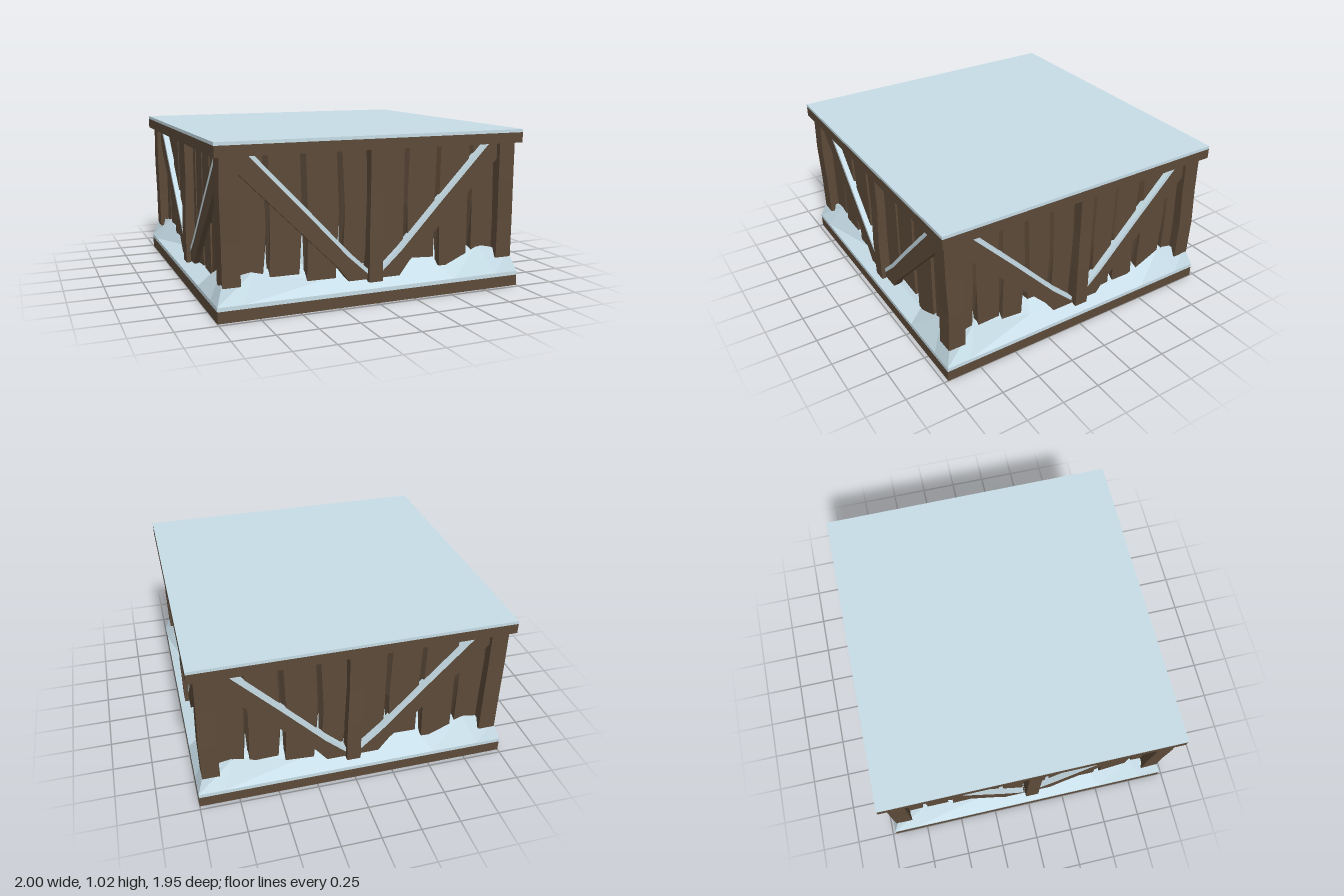
import * as THREE from 'three';

const HX = 1, HZ = 0.973, LID = 0.94;

export function createModel() {
  const wood = new THREE.MeshStandardMaterial({ color: 0x5c4a39 });
  wood.name = 'dark wood';
  const snow = new THREE.MeshStandardMaterial({ color: 0xc7dde7 });
  snow.name = 'snow';
  const model = new THREE.Group();
  model.name = 'timberPlatform';

  let seed = 7;
  const rand = () => {
    seed = (seed * 16807) % 2147483647;
    return seed / 2147483647 - 0.5;
  };

  function add(parent, name, geometry, material) {
    const mesh = new THREE.Mesh(geometry, material);
    mesh.name = name;
    parent.add(mesh);
  }

  function slab(name, y0, y1, hx, hz, material) {
    const geo = new THREE.BoxGeometry(2 * hx, y1 - y0, 2 * hz);
    add(model, name, geo.translate(0, (y0 + y1) / 2, 0), material);
  }

  // Flat outline given a thickness, from z0 outwards to z1
  function cutBoard(points, z0, z1) {
    const shape = new THREE.Shape(points.map(([x, y]) => new THREE.Vector2(x, y)));
    return new THREE.ExtrudeGeometry(shape, { depth: z1 - z0, bevelEnabled: false }).translate(0, 0, z0);
  }

  // Base, lid and the dark inside
  slab('base', 0, 0.07, HX, HZ, wood);
  slab('lid', 0.935, 1.0, HX, HZ, wood);
  slab('lidSnow', 1.0, 1.02, HX, HZ, snow);
  slab('innerCore', 0.3, LID, 0.78, 0.75, wood);

  // Snow bank: rings from the rim inwards, five points along each side, the first at the corner
  const along = [-1, -0.84, -0.37, 0.53, 0.84];
  const rings = [
    { inset: [0, 0, 0, 0, 0], y: [0.07, 0.07, 0.07, 0.07, 0.07] },
    { inset: [0, 0, 0, 0, 0], y: [0.095, 0.095, 0.095, 0.095, 0.095] },
    { inset: [0.045, 0.1, 0.1, 0.1, 0.1], y: [0.225, 0.255, 0.15, 0.15, 0.27] },
    { inset: [0.19, 0.19, 0.19, 0.19, 0.19], y: [0.265, 0.26, 0.23, 0.23, 0.27] },
    { inset: [0.215, 0.215, 0.215, 0.215, 0.215], y: [0.47, 0.47, 0.47, 0.47, 0.47] },
  ];
  const position = [], index = [], count = 20;
  for (const ring of rings) {
    for (let side = 0; side < 4; side++) {
      along.forEach((u, i) => {
        const [x, z] = [[u, 1], [1, -u], [-u, -1], [-1, u]][side];
        position.push(x * (HX - ring.inset[i]), ring.y[i], z * (HZ - ring.inset[i]));
      });
    }
  }
  for (let r = 0; r < rings.length - 1; r++) {
    for (let i = 0; i < count; i++) {
      const a = r * count + i, b = r * count + (i + 1) % count;
      index.push(a, b, b + count, a, b + count, a + count);
    }
  }
  const indexed = new THREE.BufferGeometry();
  indexed.setAttribute('position', new THREE.Float32BufferAttribute(position, 3));
  indexed.setIndex(index);
  const bank = indexed.toNonIndexed();
  bank.computeVertexNormals();
  add(model, 'snowBank', bank, snow);

  // Rough post, slightly bent at mid height
  function post(parent, name, x, z, w, d, y0) {
    const geo = new THREE.BoxGeometry(w, LID - y0, d, 1, 3, 1).toNonIndexed();
    const p = geo.attributes.position;
    for (let i = 0; i < p.count; i++) {
      const k = Math.sin(p.getY(i) * 7 + x * 3) * 0.005;
      p.setX(i, p.getX(i) + k);
      p.setZ(i, p.getZ(i) - k);
    }
    geo.computeVertexNormals();
    add(parent, name, geo.translate(x, (y0 + LID) / 2, z), wood);
  }
  for (const sx of [-1, 1]) {
    for (const sz of [-1, 1]) post(model, 'cornerPost', sx * 0.91, sz * 0.886, 0.11, 0.112, 0.19);
  }

  // Plank with slanting sides: its back is wider, closing the gaps except near the feet
  function plankGeometry(points, z0, z1) {
    const geo = cutBoard(points, z0, z1);
    const p = geo.attributes.position;
    const centre = (points[0][0] + points[5][0]) / 2;
    for (let i = 0; i < p.count; i++) {
      if (p.getZ(i) > (z0 + z1) / 2) continue;
      const spread = 0.022 * THREE.MathUtils.clamp((p.getY(i) - 0.3) / 0.2, 0, 1);
      p.setX(i, p.getX(i) + Math.sign(p.getX(i) - centre) * spread);
    }
    geo.computeVertexNormals();
    return geo;
  }

  // Each plank: left and right edge at the top, kink shift, height of the foot
  const longSide = {
    reach: 0.94, postX: 0,
    planks: [
      [-0.88, -0.695, 0.015, 0.2], [-0.665, -0.47, 0.01, 0.21], [-0.435, -0.24, 0.015, 0.16],
      [-0.205, -0.05, 0.02, 0.23], [-0.03, 0.21, 0.0, 0.23], [0.245, 0.435, -0.01, 0.23],
      [0.465, 0.67, -0.005, 0.16], [0.7, 0.88, 0.0, 0.2],
    ],
  };
  const shortSide = {
    reach: 0.965, postX: 0.03,
    planks: [
      [-0.86, -0.74, 0.005, 0.2], [-0.715, -0.56, 0.0, 0.24], [-0.535, -0.385, 0.01, 0.2],
      [-0.355, -0.205, 0.015, 0.28], [-0.175, -0.03, 0.01, 0.15], [-0.01, 0.13, 0.0, 0.28],
      [0.155, 0.3, -0.005, 0.15], [0.33, 0.495, -0.015, 0.15], [0.525, 0.71, 0.02, 0.15],
      [0.74, 0.86, 0.015, 0.2],
    ],
  };

  function wall(name, spec, turn) {
    const group = new THREE.Group();
    group.name = name;
    group.rotation.y = turn;
    model.add(group);
    const out = spec.reach;

    // Upright planks with uneven feet
    for (const [l, r, kink, foot] of spec.planks) {
      const mid = 0.54 + rand() * 0.08, slope = rand() * 0.016, shift = rand() * 0.01;
      const z = out - 0.06 + rand() * 0.01;
      add(group, 'plank', plankGeometry([
        [l, LID], [l + kink, mid], [l + 0.005 + shift, foot + slope],
        [r - 0.005 + shift, foot - slope], [r + kink, mid], [r, LID],
      ], z - 0.05, z), wood);
    }

    // Middle post
    post(group, 'middlePost', spec.postX, out - 0.045, 0.09, 0.09, 0.125);

    // Pair of slanted braces with snow lying on them
    for (const s of [-1, 1]) {
      const flip = ([x, y]) => [s * x, y];
      add(group, 'brace', cutBoard([
        [0.02, 0.14], [0.17, 0.14], [0.24, 0.23], [0.86, 0.84], [0.86, LID], [0.79, LID],
        [0.46, 0.595], [0.18, 0.3], [0.02, 0.16],
      ].map(flip), out - 0.075, out - 0.025), wood);
      add(group, 'braceSnow', cutBoard([
        [0.03, 0.16], [0.18, 0.295], [0.46, 0.59], [0.8, LID], [0.765, LID],
        [0.45, 0.614], [0.17, 0.319], [0.03, 0.19],
      ].map(flip), out - 0.075, out - 0.024), snow);
    }
  }
  wall('frontWall', longSide, 0);
  wall('leftWall', shortSide, Math.PI / 2);
  wall('backWall', longSide, Math.PI);
  wall('rightWall', shortSide, -Math.PI / 2);

  return model;
}
